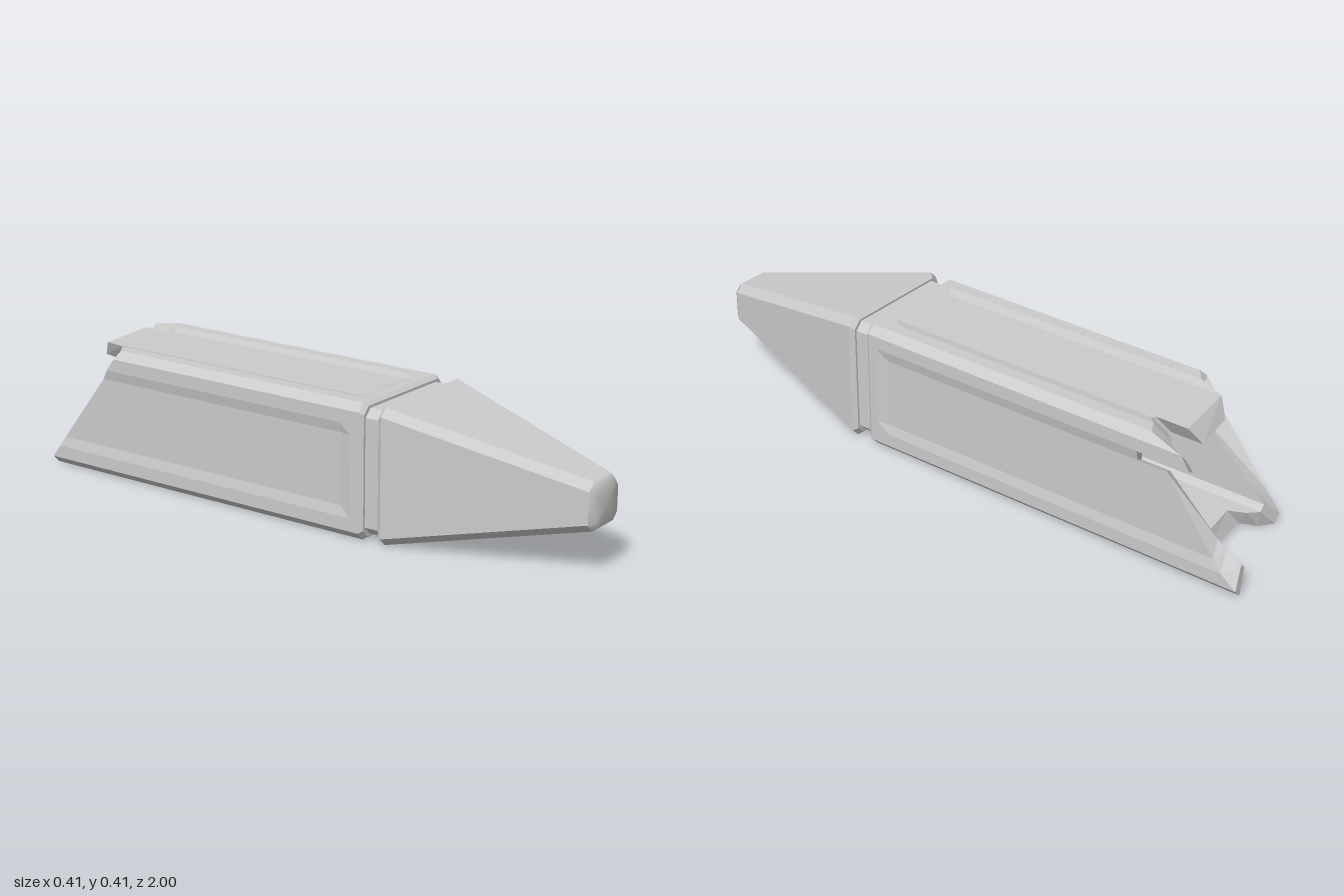
import * as THREE from 'three';

const H = 0.206; // half width of the shaft, also its centre height

// Skin a list of rings (counter-clockwise seen from +z, ordered from +z to -z).
function loft(rings, capFront, capBack) {
  const n = rings[0].length, pos = rings.flat(2), index = [];
  for (let i = 0; i < rings.length - 1; i++)
    for (let j = 0; j < n; j++) {
      const k = (j + 1) % n, a = i * n + j, b = i * n + k;
      index.push(a, a + n, b, b, a + n, b + n);
    }
  const cap = (ring, start, front) => {
    const c = pos.length / 3;
    const mid = [0, 1, 2].map(d => ring.reduce((s, p) => s + p[d], 0) / n);
    pos.push(...mid);
    for (let j = 0; j < n; j++) {
      const k = (j + 1) % n;
      index.push(c, start + (front ? j : k), start + (front ? k : j));
    }
  };
  if (capFront) cap(rings[0], 0, true);
  if (capBack) cap(rings[rings.length - 1], (rings.length - 1) * n, false);
  const g = new THREE.BufferGeometry();
  g.setAttribute('position', new THREE.Float32BufferAttribute(pos, 3));
  g.setIndex(index);
  g.computeVertexNormals();
  return g;
}

// Square ring with cut corners.
function octagon(h, z, c = 0.024) {
  const k = h - c;
  return [[h, -k], [h, k], [k, h], [-k, h], [-h, k], [-h, -k], [-k, -h], [k, -h]]
    .map(([x, y]) => [x, y + H, z]);
}

// Torn rim: for each side, [position along the side, z of the break].
const K = 0.182, A = 0.142, B = 0.11;
const rim = [
  // left wall, bottom to top, with a slot below the upper prong
  [[-K, -1], [-A, -0.95], [-B, -0.92], [B, -0.755], [B, -0.66], [A, -0.66], [A, -0.83], [K, -0.805]],
  // top wall, left to right, with a narrow notch beside the prong
  [[-K, -0.69], [-A, -0.67], [-B, -0.64], [-0.1, -0.65], [-0.1, -0.755], [B, -0.73], [A, -0.64], [K, -0.61]],
  // right wall, top to bottom
  [[-K, -0.62], [-A, -0.65], [-B, -0.67], [B, -0.84], [A, -0.86], [K, -0.89]],
  // bottom wall, right to left
  [[-K, -0.89], [-A, -0.86], [-B, -0.81], [0.1, -0.83], [A, -0.93], [K, -1]],
];

// Trace the rim's outline at a given half width, panel recess and z rule.
function shaftRing(scale, recess, zOf) {
  return rim.flatMap((side, s) => side.map(([t, z]) => {
    const h = (H - (Math.abs(t) <= B ? recess : 0)) * scale, u = t * scale;
    const [x, y] = [[h, u], [-u, h], [-h, -u], [u, -h]][s];
    return [x, y + H, zOf(z, s)];
  }));
}

export function createModel() {
  const group = new THREE.Group();
  const add = (name, geometry, flat = true) => {
    const mesh = new THREE.Mesh(geometry,
      new THREE.MeshStandardMaterial({ color: 0xcccccc, flatShading: flat }));
    mesh.name = name;
    group.add(mesh);
  };

  // Tapered nose with a softly rounded blunt tip
  add('nose', loft([octagon(0.072, 0.983), octagon(H, 0.385), octagon(0.196, 0.37)], false, true));
  add('noseTip', loft([octagon(0.058, 1, 0.02), octagon(0.072, 0.983)], true, false), false);

  // Groove between nose and shaft
  add('collar', loft([octagon(0.189, 0.375), octagon(0.189, 0.3)], true, true));

  // Hollow shaft with shallow recessed panels and a torn open rear
  add('shaft', loft([
    shaftRing(0.955, 0, () => 0.32),
    shaftRing(1, 0, () => 0.308),
    shaftRing(1, 0, () => 0.28),
    shaftRing(1, 0.007, () => 0.24),
    shaftRing(1, 0.007, z => z),
    shaftRing(0.72, 0, (z, s) => z + (s === 1 ? -0.035 : 0.02)),
    shaftRing(0.72, 0, () => 0.22),
  ], true, true));

  return group;
}
